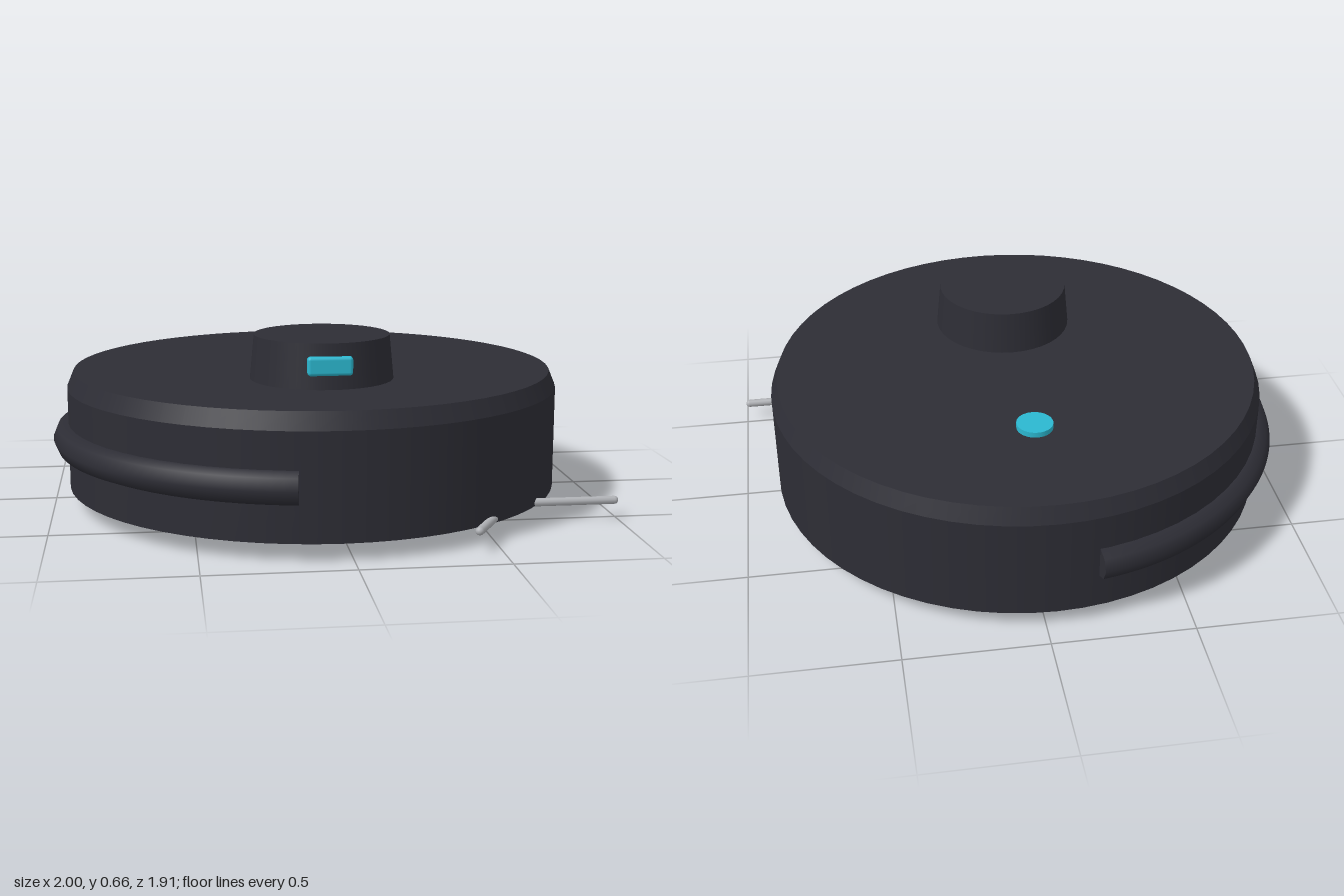
import * as THREE from 'three';
import { RoundedBoxGeometry } from 'three/addons/geometries/RoundedBoxGeometry.js';

const mat = (name, color) => Object.assign(new THREE.MeshStandardMaterial({ color }), { name });

export function createModel() {
  const shell = mat('charcoal shell', 0x2d2d35);
  const rubber = mat('dark rubber', 0x25262b);
  const accent = mat('cyan accent', 0x2bb8d0);
  const bristle = mat('grey bristle', 0xb0b2b6);

  const model = new THREE.Group();
  model.name = 'robotVacuum';
  // Everything but the brush is placed relative to the disc's centre
  const disc = new THREE.Group();
  disc.name = 'disc';
  disc.position.x = -0.036;
  model.add(disc);

  const add = (parent, name, geometry, material, x, y, z) => {
    const mesh = new THREE.Mesh(geometry, material);
    mesh.name = name;
    mesh.position.set(x, y, z);
    parent.add(mesh);
    return mesh;
  };

  // Round body with a bevelled top rim
  add(disc, 'body', new THREE.CylinderGeometry(0.91, 0.91, 0.37, 64), shell, 0, 0.245, 0);
  add(disc, 'lid', new THREE.CylinderGeometry(0.885, 0.91, 0.06, 64), shell, 0, 0.46, 0);

  // Sensor turret, floating just above the lid, with its window
  add(disc, 'turret', new THREE.CylinderGeometry(0.24, 0.255, 0.157, 40), shell, 0, 0.5765, 0.32);
  add(disc, 'turretWindow', new RoundedBoxGeometry(0.156, 0.066, 0.04, 2, 0.012), accent, 0, 0.578, 0.557);

  // Power button
  add(disc, 'button', new THREE.CylinderGeometry(0.065, 0.065, 0.022, 32), accent, 0, 0.499, -0.432);

  // Bumper: an arc around the -x side, with closed ends
  const ARC = Math.PI * 0.9, R = 0.907, r = 0.058;
  const bumper = new THREE.Group();
  bumper.name = 'bumper';
  bumper.position.y = 0.245;
  bumper.rotation.set(-Math.PI / 2, 0, Math.PI - ARC / 2);
  disc.add(bumper);
  add(bumper, 'bumperBar', new THREE.TorusGeometry(R, r, 8, 64, ARC), shell, 0, 0, 0);
  for (const a of [0, ARC]) {
    const cap = add(bumper, 'bumperEnd', new THREE.CircleGeometry(r, 8), shell, R * Math.cos(a), R * Math.sin(a), 0);
    cap.rotation.set(Math.PI / 2, a, 0, 'ZXY');
    cap.rotation.set(Math.PI / 2, 0, 0);
    cap.rotateOnWorldAxis(new THREE.Vector3(0, 0, 1), a);
    if (a > 0) cap.rotateX(Math.PI);
  }

  // Drive wheels
  for (const side of [-1, 1]) {
    const wheel = add(disc, side < 0 ? 'rightWheel' : 'leftWheel',
      new THREE.CylinderGeometry(0.14, 0.14, 0.105, 32), rubber, side * 0.59, 0.14, 0);
    wheel.rotation.z = Math.PI / 2;
  }

  // Three-armed side brush
  const brush = new THREE.Group();
  brush.name = 'sideBrush';
  brush.position.set(0.61, 0.07, 0.53);
  model.add(brush);
  const L = 0.39, t = 0.015;
  for (let i = 0; i < 3; i++) {
    const arm = new THREE.Group();
    arm.name = 'brushArm';
    arm.rotation.y = (i * Math.PI * 2) / 3;
    brush.add(arm);
    add(arm, 'bristle', new THREE.CapsuleGeometry(t, L - t, 4, 10), bristle, (L - t) / 2, 0, 0).rotation.z = Math.PI / 2;
  }
  return model;
}
